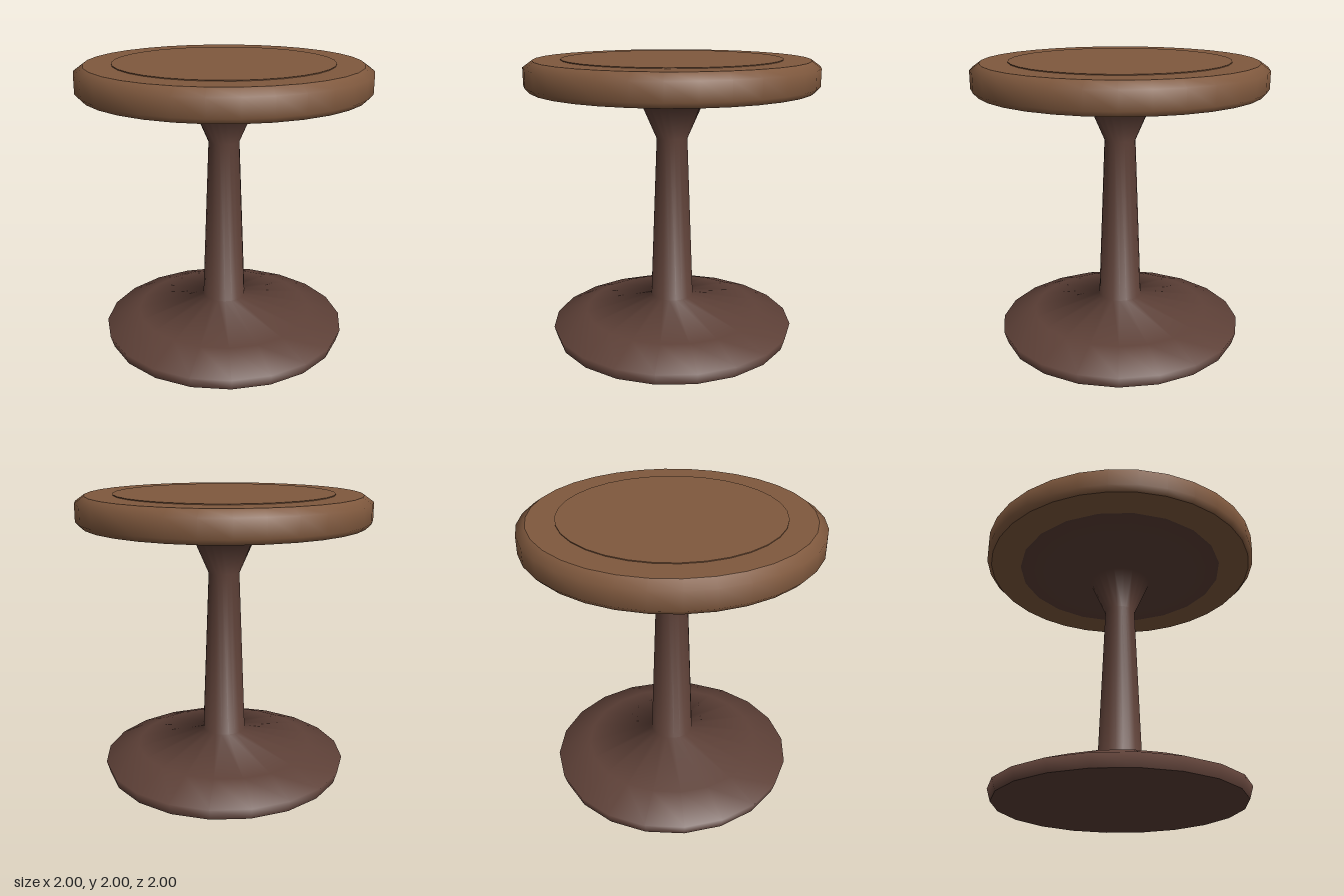
import * as THREE from 'three';
import { mergeGeometries } from 'three/addons/utils/BufferGeometryUtils.js';

// Turned part: each run of [radius, height] points is smooth, with a sharp edge between runs.
function turned(name, runs, sides, material) {
  const pieces = runs.map(run =>
    new THREE.LatheGeometry(run.map(([r, y]) => new THREE.Vector2(r, y)), sides));
  const mesh = new THREE.Mesh(mergeGeometries(pieces), material);
  mesh.name = name;
  return mesh;
}

export function createModel() {
  const group = new THREE.Group();
  group.name = 'pedestalStool';
  const lightWood = new THREE.MeshStandardMaterial({ color: 0x80593e });
  const darkWood = new THREE.MeshStandardMaterial({ color: 0x5d4037 });

  // Foot, tapering column and flared support in one turned piece
  group.add(turned('pedestal', [
    [[0, 0], [0.845, 0]],
    [[0.845, 0], [0.87, 0.083], [0.63, 0.175], [0.153, 0.283],
      [0.108, 1.444], [0.217, 1.695], [0.75, 1.79]],
  ], 20, darkWood));

  // Round top with a softened rim
  group.add(turned('seat', [
    [[0, 1.79], [0.967, 1.79]],
    [[0.967, 1.79], [1, 1.825], [1, 1.945], [0.937, 1.99]],
    [[0.937, 1.99], [0, 1.99]],
  ], 32, lightWood));

  // Slightly raised disc on the top
  group.add(turned('seatInset', [
    [[0.75, 1.985], [0.75, 1.996]],
    [[0.75, 1.996], [0, 1.996]],
  ], 32, lightWood));

  return group;
}
